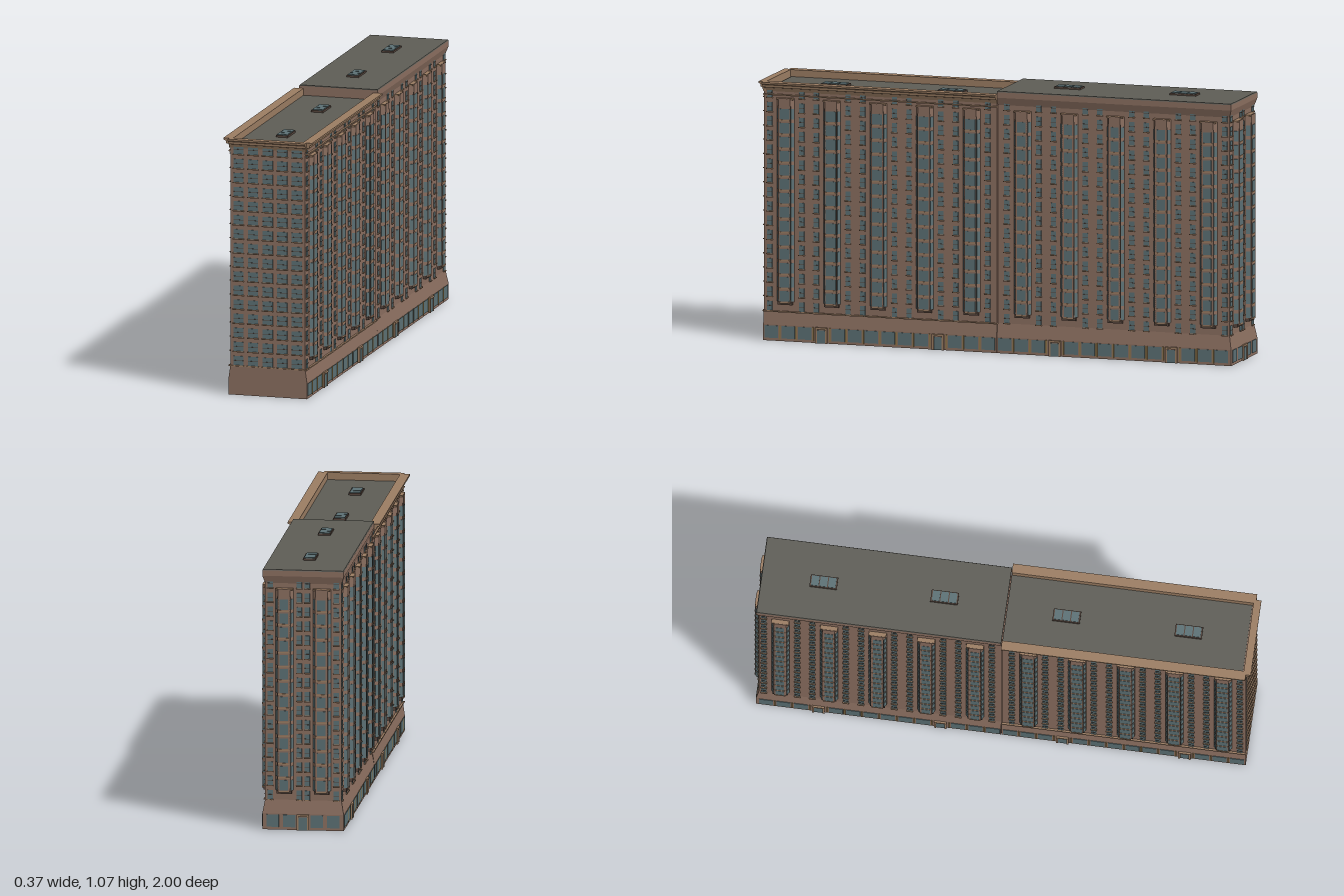
import * as THREE from 'three';
import { mergeGeometries } from 'three/addons/utils/BufferGeometryUtils.js';

const COLORS = { brick: 0x8a6e5f, trim: 0x9a7c62, dark: 0x54443b, glass: 0x5b7074, roof: 0x5d5c55, gold: 0x8f7748 };
const FLOORS = 16, PITCH = 0.0573, FIRST = 0.14;
const BAYS = [0.107, 0.303, 0.498, 0.693, 0.888];

export function createModel() {
  const group = new THREE.Group();
  const buckets = {};

  function collect(name, color, geo) {
    const g = geo.index ? geo.toNonIndexed() : geo;
    g.deleteAttribute('uv');
    (buckets[name] ??= { color, list: [] }).list.push(g);
  }

  // Box in plain model coordinates
  function block(name, color, w, h, d, x, y, z) {
    collect(name, color, new THREE.BoxGeometry(w, h, d).translate(x, y, z));
  }

  // Rectangular tower lofted through [y, halfX, zBack, zFront] levels
  function loft(name, color, levels) {
    const pos = [];
    const rings = levels.map(([y, x, a, b]) => [[-x, y, b], [x, y, b], [x, y, a], [-x, y, a]]);
    const quad = (a, b, c, d) => pos.push(...a, ...b, ...c, ...a, ...c, ...d);
    for (let i = 0; i + 1 < rings.length; i++) {
      for (let k = 0; k < 4; k++) {
        const n = (k + 1) % 4;
        quad(rings[i][k], rings[i][n], rings[i + 1][n], rings[i + 1][k]);
      }
    }
    const lo = rings[0], hi = rings[rings.length - 1];
    quad(lo[3], lo[2], lo[1], lo[0]);
    quad(hi[0], hi[1], hi[2], hi[3]);
    const g = new THREE.BufferGeometry();
    g.setAttribute('position', new THREE.Float32BufferAttribute(pos, 3));
    g.computeVertexNormals();
    g.setAttribute('uv', new THREE.Float32BufferAttribute(pos.length / 3 * 2, 2));
    collect(name, color, g);
  }

  // A facade: local x runs along the wall, local z points outwards
  const facade = (x, z, turn) => new THREE.Matrix4().makeRotationY(turn).setPosition(x, 0, z);
  function onWall(wall, name, color, u, y, out, w, h, d, turn = 0) {
    collect(name, color, new THREE.BoxGeometry(w, h, d).rotateY(turn).translate(u, y, out).applyMatrix4(wall));
  }

  // Sash window with sill and meeting rail
  function sash(wall, u, y, w, h) {
    onWall(wall, 'windowGlass', COLORS.glass, u, y, 0, w, h, 0.004);
    onWall(wall, 'windowRails', COLORS.dark, u, y, 0.001, w, 0.002, 0.005);
    onWall(wall, 'windowSills', COLORS.trim, u, y - h / 2 - 0.002, 0.002, w + 0.004, 0.004, 0.009);
  }

  function windowColumn(wall, u, w) {
    for (let i = 0; i < FLOORS; i++) sash(wall, u, FIRST + i * PITCH, w, 0.037);
  }

  // Tall projecting bay with splayed, glazed sides
  function bay(wall, u, depth, glassWidth) {
    const shape = new THREE.Shape([[-0.036, 0], [0.036, 0], [0.024, -depth], [-0.024, -depth]]
      .map(([a, b]) => new THREE.Vector2(a, b)));
    const body = new THREE.ExtrudeGeometry(shape, { depth: 0.82, bevelEnabled: false });
    collect('bays', COLORS.brick, body.rotateX(-Math.PI / 2).translate(u, 0.16, 0).applyMatrix4(wall));
    onWall(wall, 'bayCorbels', COLORS.dark, u, 0.154, depth * 0.35, 0.06, 0.014, depth * 0.7);
    onWall(wall, 'bayCaps', COLORS.trim, u, 0.978, depth * 0.45, 0.07, 0.006, depth * 0.9);
    const lean = Math.atan2(depth, 0.012), length = Math.hypot(depth, 0.012);
    for (let i = 0; i < 14; i++) {
      const y = 0.183 + i * 0.0565;
      onWall(wall, 'bayGlass', COLORS.glass, u, y, depth - 0.001, glassWidth, 0.042, 0.004);
      onWall(wall, 'baySpandrels', COLORS.trim, u, y - 0.026, depth - 0.001, 0.046, 0.006, 0.005);
      for (const s of [-1, 1]) {
        onWall(wall, 'baySideGlass', COLORS.glass, u + s * 0.03, y, depth / 2, length * 0.7, 0.042, 0.004, s * lean);
      }
    }
    for (const s of [-1, 1]) {
      onWall(wall, 'bayPosts', COLORS.dark, u + s * 0.024, 0.56, depth - 0.002, 0.004, 0.78, 0.004);
    }
  }

  // Framed entrance
  function entrance(wall, u) {
    onWall(wall, 'entranceDoors', COLORS.glass, u, 0.026, 0.001, 0.034, 0.052, 0.006);
    for (const s of [-1, 1]) onWall(wall, 'entranceFrames', COLORS.trim, u + s * 0.021, 0.032, 0.002, 0.008, 0.064, 0.01);
    onWall(wall, 'entranceFrames', COLORS.trim, u, 0.06, 0.002, 0.05, 0.008, 0.012);
  }

  // Front and rear towers, with flared base and flared rear crown
  loft('frontTower', COLORS.brick, [[0, 0.163, 0, 0.98], [0.065, 0.163, 0, 0.98],
    [0.12, 0.155, 0, 0.98], [1.012, 0.155, 0, 0.98]]);
  loft('rearTower', COLORS.brick, [[0, 0.163, -0.985, -0.002], [0.065, 0.163, -0.985, -0.002],
    [0.12, 0.153, -0.975, -0.002], [1.0, 0.153, -0.975, -0.002],
    [1.03, 0.163, -0.985, -0.002], [1.052, 0.163, -0.985, -0.002]]);
  block('frontRoof', COLORS.roof, 0.29, 0.004, 0.965, 0, 1.013, 0.483);
  loft('rearRoof', COLORS.roof, [[1.052, 0.163, -0.985, -0.002], [1.056, 0.161, -0.983, -0.002]]);

  // Long sides
  for (const s of [-1, 1]) {
    const baseWall = facade(s * 0.163, 0, s * Math.PI / 2);
    for (const e of [1, -1]) {
      const wall = facade(s * (e > 0 ? 0.155 : 0.153), 0, s * Math.PI / 2);
      for (const b of BAYS) {
        const u = -s * e * b;
        bay(wall, u, e > 0 ? 0.017 : 0.019, e > 0 ? 0.042 : 0.034);
        for (const k of [-1, 1]) windowColumn(wall, u + k * 0.067, 0.022);
      }
      for (let i = 0; i < 14; i++) {
        const u = -s * e * (0.035 + i * 0.07);
        if (i === 3 || i === 10) entrance(baseWall, u);
        else onWall(baseWall, 'shopWindows', COLORS.glass, u, 0.036, 0, 0.056, 0.05, 0.004);
        if (i) onWall(baseWall, 'shopPilasters', COLORS.gold, u + s * e * 0.035, 0.035, 0, 0.006, 0.056, 0.005);
      }
    }
    // Belt courses on the front tower
    for (const y of [0.118, 0.992]) block('beltCourses', COLORS.trim, 0.01, 0.005, 0.98, s * 0.158, y, 0.49);
  }

  // Front windows
  const frontWall = facade(0, 0.98, 0);
  for (let c = -2; c <= 2; c++) windowColumn(frontWall, c * 0.0605, 0.042);
  block('beltCourses', COLORS.trim, 0.31, 0.004, 0.008, 0, 0.118, 0.981);

  // Rear end
  const rearWall = facade(0, -0.975, Math.PI), rearBase = facade(0, -0.985, Math.PI);
  for (const s of [-1, 1]) {
    bay(rearWall, s * 0.075, 0.0235, 0.034);
    windowColumn(rearWall, s * 0.016, 0.02);
    windowColumn(rearWall, s * 0.133, 0.022);
    for (const u of [0.055, 0.122]) onWall(rearBase, 'shopWindows', COLORS.glass, s * u, 0.036, 0, 0.05, 0.05, 0.004);
  }
  entrance(rearBase, 0);

  // Stepped cornice and parapet around the front tower
  function cornice(points, length, place) {
    const shape = new THREE.Shape(points.map(([a, b]) => new THREE.Vector2(a, b)));
    const g = new THREE.ExtrudeGeometry(shape, { depth: length, bevelEnabled: false });
    collect('cornice', COLORS.trim, g.translate(0, 0, -length / 2).applyMatrix4(place));
  }
  const profile = (reach) => [[-0.01, 1.005], [0, 1.005], [reach * 0.3, 1.02], [reach * 0.6, 1.022],
    [reach * 0.65, 1.032], [reach, 1.036], [reach, 1.043], [-0.01, 1.043]];
  const at = (x, z, turn) => new THREE.Matrix4().makeRotationY(turn).setPosition(x, 0, z);
  cornice(profile(0.029), 0.98, at(0.155, 0.49, 0));
  cornice(profile(0.029), 0.98, at(-0.155, 0.49, Math.PI));
  cornice(profile(0.02), 0.32, at(0, 0.98, -Math.PI / 2));

  // Roof skylights
  for (const [z, y] of [[0.24, 1.015], [0.73, 1.015], [-0.25, 1.055], [-0.735, 1.055]]) {
    block('skylightCurbs', COLORS.dark, 0.05, 0.008, 0.11, 0, y + 0.004, z);
    for (const k of [-1, 0, 1]) block('skylightGlass', COLORS.glass, 0.042, 0.006, 0.03, 0, y + 0.008, z + k * 0.034);
  }

  for (const [name, { color, list }] of Object.entries(buckets)) {
    const mesh = new THREE.Mesh(mergeGeometries(list), new THREE.MeshStandardMaterial({ color }));
    mesh.name = name;
    group.add(mesh);
  }
  return group;
}
